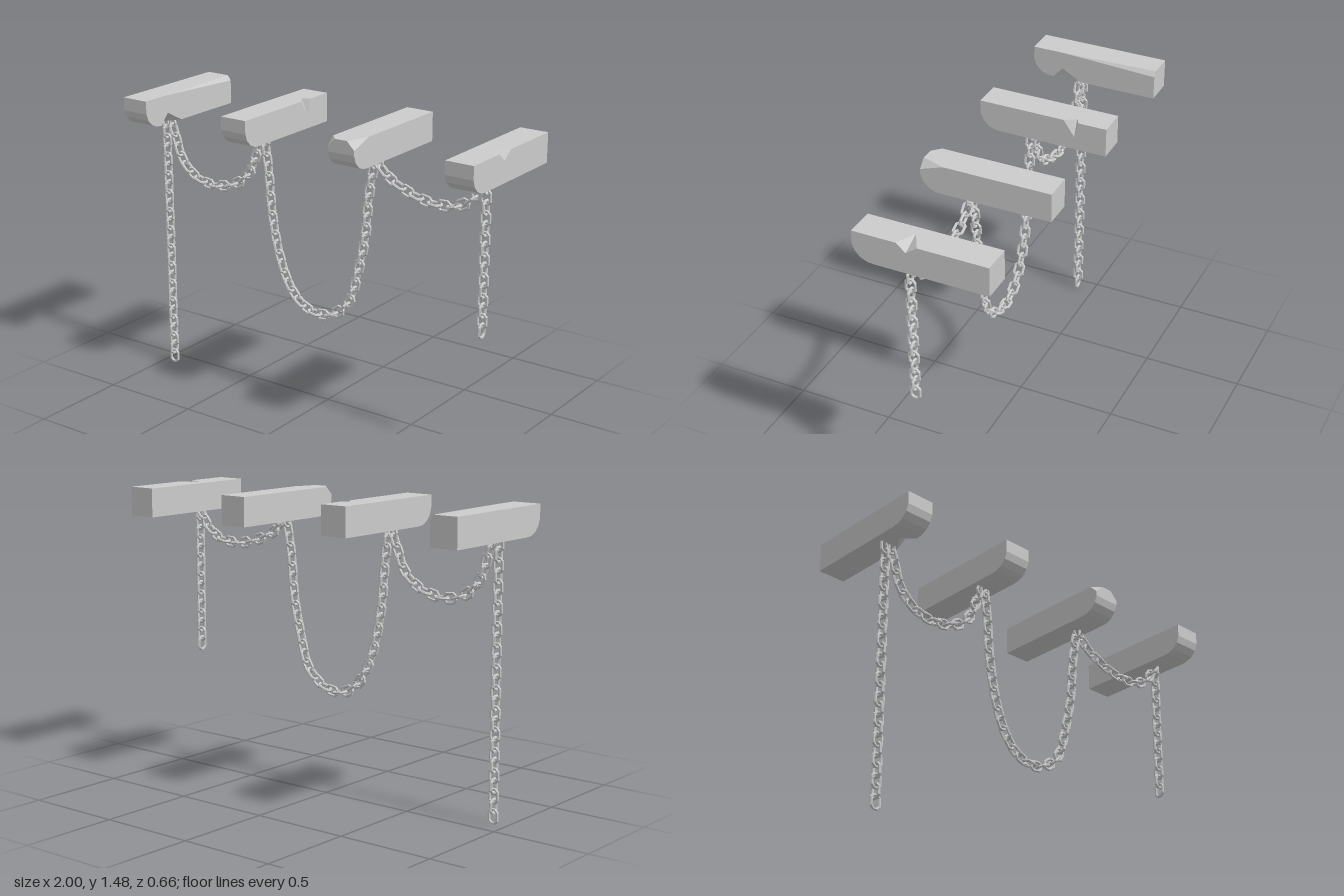
import * as THREE from 'three';
import { ConvexGeometry } from 'three/addons/geometries/ConvexGeometry.js';
import { mergeGeometries } from 'three/addons/utils/BufferGeometryUtils.js';

const TOP = 1.485, BOTTOM = 1.34, HALF_DEPTH = 0.328, HALF_WIDTH = 0.0725, CHAIN_Z = 0.09, PITCH = 0.049;
const grey = new THREE.MeshStandardMaterial({ color: 0xcccccc, flatShading: true });

// Rounded underside of a beam's front end: [z, y]
const nose = [[0.328, 1.42], [0.315, 1.385], [0.288, 1.357], [0.255, 1.343], [0.22, BOTTOM]];
const W = HALF_WIDTH, D = HALF_DEPTH;
const noseEnd = nose.flatMap(([z, y]) => [[-W, y, z], [W, y, z]]);
const frontTop = [[-W, TOP, D], [W, TOP, D]];
const backBottom = [[-W, BOTTOM, -D], [W, BOTTOM, -D]];
const backTop = [[-W, TOP, -D], [W, TOP, -D]];

// Convex block with the triangles lying on the joining plane left out
function block(points, joinZ) {
  const geo = new ConvexGeometry(points.map(p => new THREE.Vector3(...p)));
  if (joinZ === undefined) return geo;
  const pos = geo.attributes.position, kept = [];
  for (let i = 0; i < pos.count; i += 3) {
    if ([0, 1, 2].every(k => Math.abs(pos.getZ(i + k) - joinZ) < 1e-5)) continue;
    for (let k = 0; k < 3; k++) kept.push(pos.getX(i + k), pos.getY(i + k), pos.getZ(i + k));
  }
  const open = new THREE.BufferGeometry();
  open.setAttribute('position', new THREE.Float32BufferAttribute(kept, 3));
  open.computeVertexNormals();
  return open;
}

// Beam with a V-shaped chip in an edge of its +x side, built as two blocks meeting at the chip's valley
function chippedBeam({ z, zBack, zFront, inset, height, edge = TOP, backCorners = backTop }) {
  const other = edge === TOP ? BOTTOM : TOP;
  const valley = [[-W, TOP, z], [-W, BOTTOM, z], [W, other, z], [W - inset, edge, z],
    [W, edge + (edge === TOP ? -height : height), z]];
  return mergeGeometries([
    block([...backBottom, ...backCorners, ...valley, [W, edge, zBack]], z),
    block([...frontTop, ...noseEnd, ...valley, [W, edge, zFront]], z),
  ].map(g => (g.index ? g.toNonIndexed() : g)));
}

// Beam with both upper corners of the front end broken off
function brokenCornerBeam() {
  return block([...backBottom, ...backTop, ...noseEnd,
    [-W, TOP, 0.287], [-W + 0.04, TOP, D], [-W, 1.445, D],
    [W, TOP, 0.21], [W - 0.04, TOP, D], [W, 1.445, D]]);
}

// Octagonal ring stretched along y into a chain link
function linkGeometry() {
  const geo = new THREE.TorusGeometry(0.0245, 0.0075, 6, 8).rotateZ(Math.PI / 8);
  const pos = geo.attributes.position;
  for (let i = 0; i < pos.count; i++) pos.setY(i, pos.getY(i) + Math.sign(pos.getY(i)) * 0.01);
  geo.computeVertexNormals();
  return geo;
}

// Links spaced along a path of [x, y] points, every second one turned a quarter
function chain(name, path, link, firstTurned = false) {
  const curve = new THREE.CatmullRomCurve3(path.map(([x, y]) => new THREE.Vector3(x, y, CHAIN_Z)));
  const steps = Math.round(curve.getLength() / PITCH);
  const group = new THREE.Group();
  group.name = name;
  for (let i = 0; i <= steps; i++) {
    const t = curve.getTangentAt(i / steps);
    const mesh = new THREE.Mesh(link, grey);
    mesh.name = 'chainLink';
    mesh.position.copy(curve.getPointAt(i / steps));
    mesh.rotation.set(0, (i % 2 === 1) !== firstTurned ? Math.PI / 2 : 0, Math.atan2(-t.x, t.y), 'ZYX');
    group.add(mesh);
  }
  return group;
}

export function createModel() {
  const model = new THREE.Group();
  model.name = 'hangingChains';

  // Four beams, each with its own damage
  const beams = [
    ['beamRight', -0.9275, chippedBeam({
      z: 0.17, zBack: 0.07, zFront: 0.22, inset: 0.06, height: 0.055, edge: BOTTOM,
      backCorners: [[-W, TOP, -D], [W - 0.018, TOP, -D], [W, TOP - 0.025, -D], [W, TOP, 0.169]],
    })],
    ['beamMiddleRight', -0.3125, chippedBeam({ z: -0.165, zBack: -0.185, zFront: -0.11, inset: 0.035, height: 0.08 })],
    ['beamMiddleLeft', 0.3075, brokenCornerBeam()],
    ['beamLeft', 0.9275, chippedBeam({ z: 0.065, zBack: 0.01, zFront: 0.112, inset: 0.095, height: 0.04 })],
  ];
  for (const [name, x, geo] of beams) {
    const mesh = new THREE.Mesh(geo, grey);
    mesh.name = name;
    mesh.position.x = x;
    model.add(mesh);
  }

  // Two chains hanging straight down and three slung between the beams
  const link = linkGeometry();
  model.add(
    chain('longHangingChain', [[-0.935, 0.04], [-0.935, 1.32]], link),
    chain('shortHangingChain', [[0.928, 0.63], [0.928, 1.32]], link, true),
    chain('rightSlungChain', [[-0.905, 1.33], [-0.875, 1.25], [-0.85, 1.17], [-0.81, 1.11], [-0.74, 1.06],
      [-0.65, 1.04], [-0.56, 1.05], [-0.465, 1.09], [-0.405, 1.15], [-0.37, 1.23], [-0.33, 1.33]], link),
    chain('middleSlungChain', [[-0.31, 1.33], [-0.29, 1.18], [-0.27, 0.96], [-0.23, 0.765], [-0.17, 0.615],
      [-0.095, 0.53], [0, 0.497], [0.1, 0.52], [0.19, 0.605], [0.24, 0.765], [0.28, 0.95], [0.3, 1.165],
      [0.33, 1.33]], link),
    chain('leftSlungChain', [[0.345, 1.33], [0.41, 1.27], [0.5, 1.225], [0.6, 1.195], [0.685, 1.187],
      [0.78, 1.2], [0.855, 1.245], [0.915, 1.32]], link),
  );
  return model;
}
